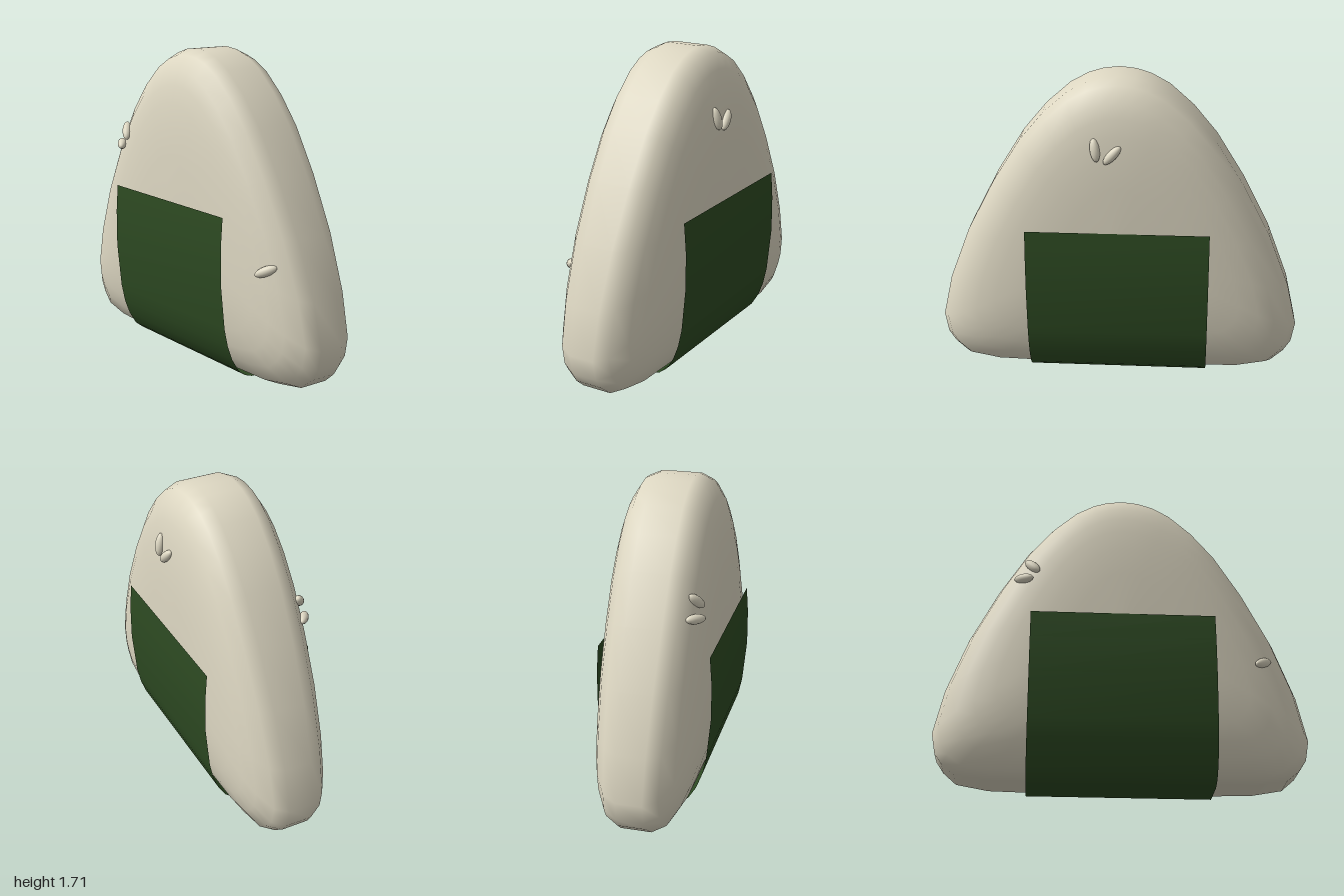
import * as THREE from 'three';

const rice = new THREE.MeshStandardMaterial({ color: 0xddd7c2 });
rice.name = 'rice';
const seaweed = new THREE.MeshStandardMaterial({ color: 0x2d4a22, side: THREE.DoubleSide });
seaweed.name = 'seaweed';

// Right half of the rounded triangle, from bottom centre to peak
const half = [
  [0, 0.015], [0.35, 0.016], [0.7, 0.022], [0.87, 0.05], [0.94, 0.11], [0.98, 0.17], [1, 0.28],
  [0.945, 0.52], [0.83, 0.82], [0.68, 1.11], [0.53, 1.35], [0.4, 1.505], [0.27, 1.62], [0.17, 1.675],
  [0.09, 1.7], [0, 1.71],
];
const outline = [...half, ...half.slice(1, -1).reverse().map(([x, y]) => [-x, y])];

// Pillow cross-section: outline scale and half depth
const swell = [[0, 0.295], [0.35, 0.29], [0.53, 0.279], [0.67, 0.265], [0.78, 0.246], [0.87, 0.22], [0.963, 0.17], [1, 0.1]];
const MID_Y = 0.85;

// Rice body: scaled outlines stacked from the front centre to the back centre
function riceBody() {
  const rings = [...swell, ...swell.map(([s, z]) => [s, -z]).reverse()];
  const n = outline.length;
  const positions = [], index = [];
  for (const [s, z] of rings) {
    for (const [x, y] of outline) {
      const thin = 0.03 * (x * s) ** 4; // the lower corners taper a little
      positions.push(x * s, MID_Y + (y - MID_Y) * s, z - Math.sign(z) * thin);
    }
  }
  for (let i = 0; i < rings.length - 1; i++) {
    for (let j = 0; j < n; j++) {
      const a = i * n + j, b = i * n + (j + 1) % n, c = a + n, d = b + n;
      if (i > 0) index.push(a, c, b);
      else index.push(a, c, d);
      if (i > 0 && i < rings.length - 2) index.push(b, c, d);
    }
  }
  const geometry = new THREE.BufferGeometry();
  geometry.setAttribute('position', new THREE.Float32BufferAttribute(positions, 3));
  geometry.setIndex(index);
  geometry.computeVertexNormals();
  return geometry;
}

// Seaweed strip: a sheet bent down the front, under the base and up the back
function wrapSheet() {
  const front = [[0.9, 0.3], [0.75, 0.31], [0.55, 0.31], [0.3, 0.285], [0.2, 0.263], [0.12, 0.233], [0.05, 0.19], [0.015, 0.145], [0, 0.1]];
  const profile = [...front, ...front.map(([y, z]) => [y, -z]).reverse()];
  const geometry = new THREE.PlaneGeometry(0.99, 1, 1, profile.length - 1);
  const p = geometry.attributes.position;
  profile.forEach(([y, z], row) => {
    for (let k = 0; k < 2; k++) p.setXYZ(row * 2 + k, p.getX(row * 2 + k) - 0.005, y, z);
  });
  geometry.computeVertexNormals();
  return geometry;
}

// Loose grains: centre and long-axis direction
const grains = [
  [[-0.5, 1.21, 0.23], [0.08, -0.09, 0.06]],
  [[-0.545, 1.13, 0.235], [0.1, -0.02, 0.075]],
  [[0.75, 0.665, 0.225], [0.1, 0.055, -0.085]],
  [[0.11, 1.36, -0.275], [0.02, 0.12, 0.025]],
  [[0.02, 1.335, -0.28], [-0.08, 0.085, 0.015]],
];

export function createModel() {
  const model = new THREE.Group();
  model.name = 'riceBall';
  const add = (name, geometry, material) => {
    const mesh = new THREE.Mesh(geometry, material);
    mesh.name = name;
    model.add(mesh);
    return mesh;
  };

  add('riceBody', riceBody(), rice);
  add('seaweedWrap', wrapSheet(), seaweed);

  const grainGeometry = new THREE.SphereGeometry(1, 16, 10).scale(0.026, 0.063, 0.026);
  grains.forEach(([centre, axis], i) => {
    const grain = add(`riceGrain${i + 1}`, grainGeometry, rice);
    grain.position.set(...centre);
    grain.quaternion.setFromUnitVectors(new THREE.Vector3(0, 1, 0), new THREE.Vector3(...axis).normalize());
  });
  return model;
}
